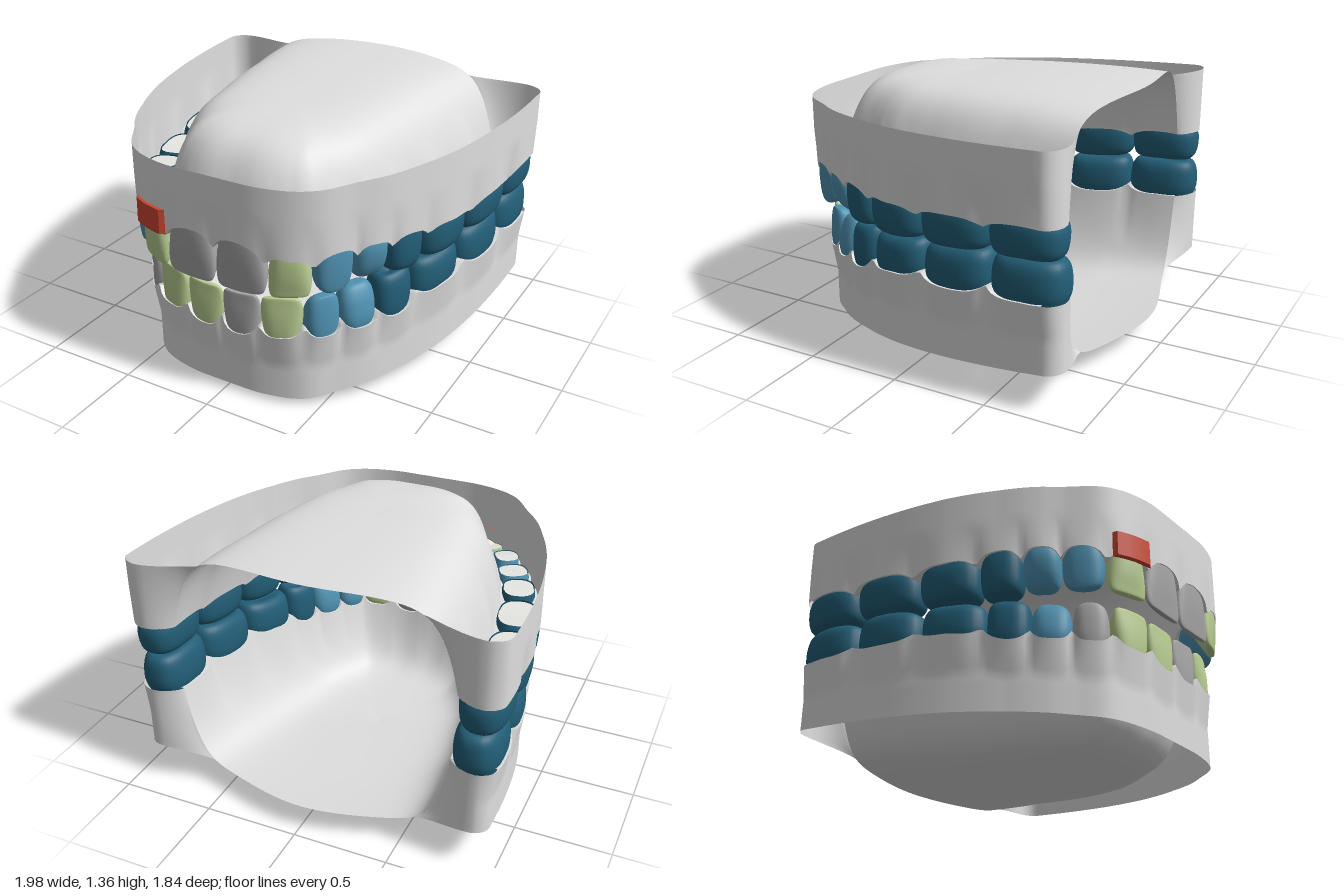
import * as THREE from 'three';

const mat = (name, color) => {
  const m = new THREE.MeshStandardMaterial({ color, side: THREE.DoubleSide });
  m.name = name;
  return m;
};

// Surface from a rule: point(i, j) for i in 0..nu, j in 0..nv; loop closes it along i
function grid(nu, nv, point, loop = false) {
  const cols = loop ? nu : nu + 1, pos = [], idx = [];
  for (let j = 0; j <= nv; j++)
    for (let i = 0; i < cols; i++) pos.push(...point(i, j).toArray());
  for (let j = 0; j < nv; j++)
    for (let i = 0; i < nu; i++) {
      const a = j * cols + i, b = j * cols + (i + 1) % cols, c = a + cols, d = b + cols;
      idx.push(a, b, c, b, d, c);
    }
  const g = new THREE.BufferGeometry();
  g.setAttribute('position', new THREE.Float32BufferAttribute(pos, 3));
  g.setIndex(idx);
  g.computeVertexNormals();
  return g;
}

const { lerp, clamp, smoothstep } = THREE.MathUtils;

// Tooth sections: [height from root to edge, width scale, depth scale]
const incisor = [[0, .8, .85], [.25, .92, 1], [.55, 1, .9], [.85, .98, .5], [.96, .9, .36], [1, .74, .24], [1, .01, .01]];
const canine = [[0, .8, .88], [.3, 1, 1], [.65, .98, .85], [.87, .84, .6], [.97, .6, .4], [1, .35, .25], [1, .01, .01]];
const molar = [[0, .86, .88], [.3, 1, 1], [.7, .99, .97], [.9, .92, .85], [1, .76, .62], [.97, .5, .36], [.9, .01, .01]];
const shapes = [incisor, incisor, canine, canine, molar, molar, molar, molar];

// Half-arch data, from the middle backwards
const upper = {
  name: 'upper', root: 1,
  joints: [[0, .85], [.275, .835], [.46, .75], [.57, .58], [.665, .42], [.74, .22], [.815, -.1], [.86, -.48], [.87, -.85]],
  depth: [.1, .13, .15, .18, .19, .23, .24, .24],
  margin: [.91, .86, .89, .89, .89, .87, .895, .92],
  edge: [.64, .66, .67, .69, .68, .69, .72, .75],
  rim: z => 1.247 - .031 * z,
  vault: z => 1.365 - .02 * ((z + .5) / .6) ** 2,
  drop: .1, backShift: .09, rimInset: 0,
};
const lower = {
  name: 'lower', root: -1,
  joints: [[0, .8], [.205, .79], [.4, .725], [.51, .59], [.615, .43], [.7, .23], [.79, -.1], [.84, -.48], [.855, -.86]],
  depth: [.1, .12, .15, .18, .19, .23, .24, .24],
  margin: [.37, .4, .41, .42, .43, .5, .52, .55],
  edge: [.59, .61, .62, .63, .65, .67, .715, .745],
  rim: z => .117 - .106 * z,
  vault: z => Math.max(0, .13 * (.1 - z) / 1.02),
  drop: .04, backShift: .15, rimInset: .03,
};

function makeArch(d) {
  const mirrored = d.joints.slice(1).reverse().map(([x, z]) => [-x, z]);
  const curve = new THREE.CatmullRomCurve3(
    [...mirrored, ...d.joints].map(([x, z]) => new THREE.Vector3(x, 0, z)));
  // Per-tooth value blended smoothly along the arch (u runs 0..16)
  const blend = (list, u) => {
    const p = clamp(Math.abs(u - 8) - .5, 0, 7), k = Math.min(6, Math.floor(p));
    return lerp(list[k], list[k + 1], p - k);
  };
  const frame = u => {
    const T = curve.getTangent(u / 16);
    return { C: curve.getPoint(u / 16), T, N: new THREE.Vector3(-T.z, 0, T.x) };
  };
  const across = u => 2 * (u - Math.floor(u)) - 1;
  const scallop = u => -d.root * lerp(.07, .035, Math.abs(u - 8) / 8) * Math.abs(across(u)) ** 3.5;
  const marginY = u => blend(d.margin, u) + scallop(u);
  // Distance of the gum from the arch line; v = 0 at the teeth, 1 at the rim
  const gumOffset = (u, v) => {
    const a = across(u), pinch = .7 + .3 * Math.sqrt(Math.max(0, 1 - a * a));
    return blend(d.depth, u) / 2 * lerp(pinch, 1, Math.min(1, v * 1.8)) + .004;
  };
  // Inner gum: s = 0 at the tooth necks, 1 on the middle line
  const vaultPoint = (u, s) => {
    const { C, N } = frame(u), p = C.addScaledVector(N, -gumOffset(u, s * 5));
    const back = clamp((-p.z - .4) / .37, 0, 1);
    const midZ = .1 - Math.log(1 + Math.exp((.1 - p.z) * 10)) / 10;
    const z = lerp(p.z, midZ, s) - d.backShift * back * smoothstep(s, 0, 1);
    const top = d.vault(lerp(z, midZ, 1 - back)) - d.root * d.drop * (1 - s) ** 3;
    const y = lerp(top, blend(d.margin, u), (1 - s) ** lerp(9, 12, back)) + scallop(u) * (1 - s) ** 22;
    return new THREE.Vector3(p.x * (1 - s), y, z);
  };
  return { frame, blend, marginY, gumOffset, vaultPoint };
}

function buildJaw(d, M, colours) {
  const jaw = new THREE.Group();
  jaw.name = d.name + 'Jaw';
  const add = (name, geometry, material) => {
    const mesh = new THREE.Mesh(geometry, material);
    mesh.name = name;
    jaw.add(mesh);
  };
  const { frame, blend, marginY, gumOffset, vaultPoint } = makeArch(d);
  const N = 160, WRAP = 12, END = .22;
  const along = i => lerp(END, 16 - END, clamp(i / N, 0, 1));

  // Outer gum wall, turning round behind the last molars into the inner gum
  add(d.name + 'GumWall', grid(N + 2 * WRAP, 12, (i, j) => {
    const v = j / 12, u = along(i - WRAP);
    const over = Math.max(0, WRAP - i, i - WRAP - N) / WRAP, phi = over * Math.PI;
    const { C, T, N: out } = frame(u);
    const p = C.addScaledVector(out, (gumOffset(u, v) - d.rimInset * Math.min(1, v * 2)) * Math.cos(phi))
      .addScaledVector(T, .085 * Math.sin(phi) * (u < 8 ? -1 : 1));
    p.y = lerp(marginY(u), d.rim(p.z), v);
    return p.lerp(vaultPoint(u, .22 * v ** 1.6), smoothstep(over, .4, 1));
  }), M.gum);

  // Inner gum and vault
  add(d.name === 'upper' ? 'palate' : 'mouthFloor',
    grid(N, 28, (i, j) => vaultPoint(along(i), (j / 28) ** 1.6)), M.gum);

  // Gum between the tooth necks
  add(d.name + 'GumCollar', grid(N, 2, (i, j) => {
    const u = along(i), { C, N: out } = frame(u);
    const p = C.addScaledVector(out, gumOffset(u, 0) * (1 - j));
    p.y = marginY(u);
    return p;
  }), M.gum);

  // Teeth: rounded sections swept from neck to biting edge, with a pale root cap
  const SEG = 28, ROWS = 18;
  for (let t = 0; t < 16; t++) {
    const k = t < 8 ? 7 - t : t - 8;
    const { C, T, N: out } = frame(t + .5);
    const width = frame(t).C.distanceTo(frame(t + 1).C), depth = d.depth[k];
    const profile = new THREE.CatmullRomCurve3(shapes[k].map(r => new THREE.Vector3(...r)));
    const ring = (i, h, w, dp) => {
      const a = i / SEG * Math.PI * 2, c = Math.cos(a), s = Math.sin(a);
      const round = q => Math.sign(q) * Math.abs(q) ** .78;
      const lean = k < 3 ? (1 - Math.max(dp, .24)) * depth * .32 : 0;
      const p = C.clone().addScaledVector(T, round(c) * w * width / 2)
        .addScaledVector(out, round(s) * dp * depth / 2 + lean);
      // neck and biting edge follow the slope of the arch
      const u = t + .5 + round(c) * w / 2;
      p.y = lerp(blend(d.margin, u) + d.root * .03, blend(d.edge, u), h);
      return p;
    };
    const side = t < 8 ? 'Right' : 'Left';
    add(`${d.name}${side}Tooth${k + 1}`, grid(SEG, ROWS, (i, j) => {
      const r = profile.getPoint(j / ROWS);
      return ring(i, r.x, r.y, r.z);
    }, true), colours[t]);
    const [, neckW, neckD] = shapes[k][0];
    add(`${d.name}${side}RootCap${k + 1}`, grid(SEG, 1, (i, j) =>
      ring(i, .02, j ? .01 : neckW * .95, j ? .01 : neckD * .95), true), M.cap);
  }

  // Thin marker on the gum above the right lateral incisor
  if (d.name === 'upper') {
    const section = [[.972, 0], [.97, .018], [.84, .02], [.835, 0]];
    add('gumMarker', grid(12, 3, (i, j) => {
      const u = 6.1 + i / 12 * .95, { C, N: out } = frame(u), [y, o] = section[j];
      const p = C.addScaledVector(out, blend(d.depth, u) / 2 + (i % 12 ? o : 0));
      p.y = y;
      return p;
    }).toNonIndexed(), M.marker);
    jaw.children.at(-1).geometry.computeVertexNormals();
  }
  return jaw;
}

export function createModel() {
  const M = {
    gum: mat('gum grey', 0xe0e0e0),
    cap: mat('root white', 0xf2f2ee),
    teal: mat('dark teal', 0x235f78),
    blue: mat('mid blue', 0x5093b3),
    green: mat('pale green', 0xbacf92),
    grey: mat('tooth grey', 0xa8a7a7),
    marker: mat('marker red', 0xcc4630),
  };
  const { teal, blue, green, grey } = M, molars = Array(4).fill(teal);
  const upperColours = [...molars, blue, blue, green, grey, grey, green, blue, blue, ...molars];
  const lowerColours = [...molars, blue, grey, green, green, grey, green, blue, blue, ...molars];
  const model = new THREE.Group();
  model.name = 'dentalModel';
  model.add(buildJaw(upper, M, upperColours), buildJaw(lower, M, lowerColours));
  return model;
}
